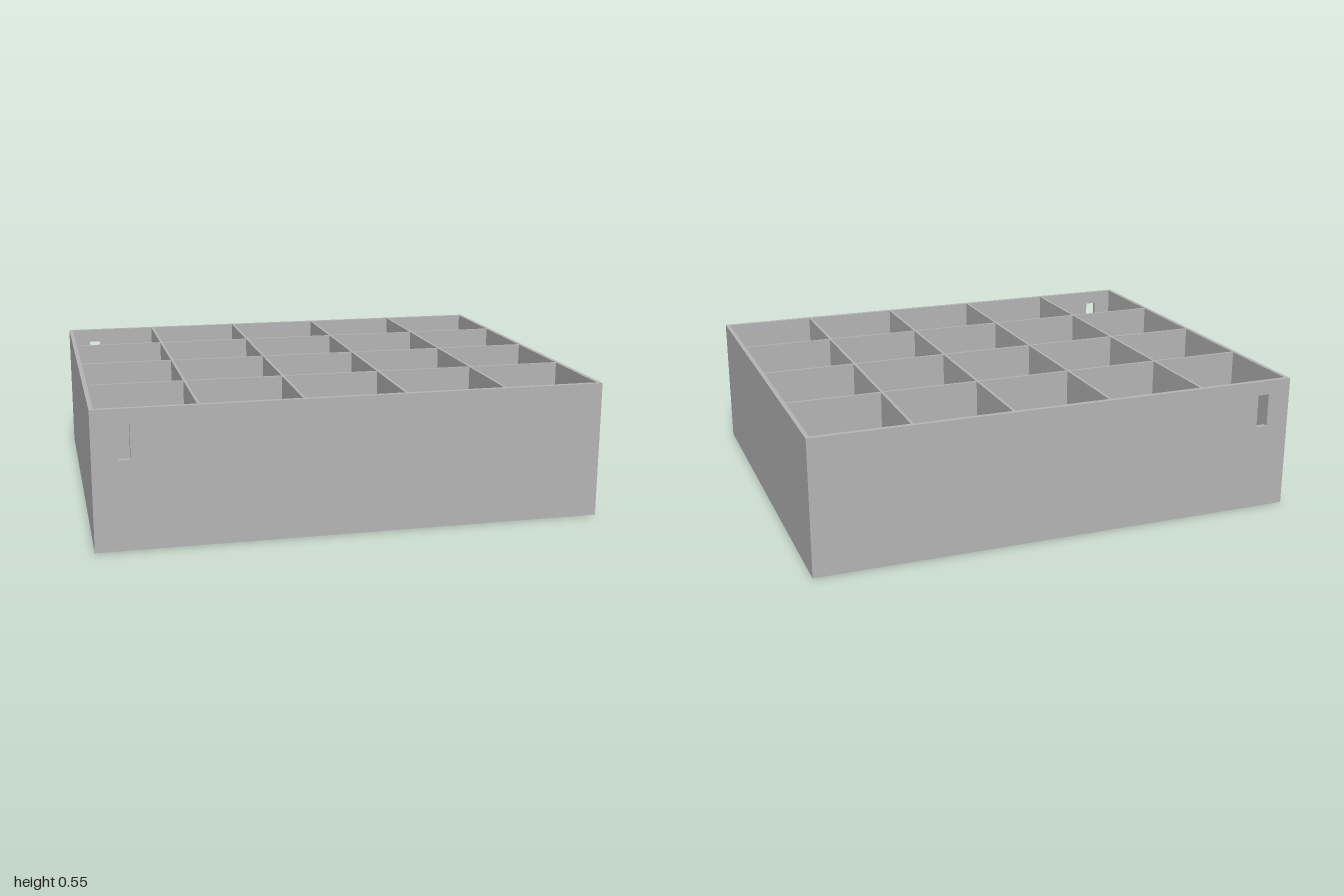
import * as THREE from 'three';

const W = 2, D = 1.654, H = 0.545;       // outer size
const WALL_X = 0.017, WALL_Z = 0.02;     // side and front/back wall thickness
const FLOOR = 0.02, DIV = 0.011;         // floor and divider thickness
const COLS = 5, ROWS = 4, PITCH_X = 0.4, PITCH_Z = 0.412;
const HOLE_R = 0.072;

function rect(Type, x0, y0, x1, y1) {
  const s = new Type();
  s.moveTo(x0, y0);
  s.lineTo(x1, y0);
  s.lineTo(x1, y1);
  s.lineTo(x0, y1);
  s.closePath();
  return s;
}

export function createModel() {
  const group = new THREE.Group();
  group.name = 'compartmentTray';
  const grey = new THREE.MeshStandardMaterial({ color: 0xb3b3b3 });
  grey.name = 'plainGrey';

  const add = (name, geometry, x, y, z) => {
    const mesh = new THREE.Mesh(geometry, grey);
    mesh.name = name;
    mesh.position.set(x, y, z);
    group.add(mesh);
    return mesh;
  };
  const colX = (i) => (i - (COLS - 1) / 2) * PITCH_X;
  const rowZ = (j) => (j - (ROWS - 1) / 2) * PITCH_Z;
  const innerW = W - 2 * WALL_X, innerD = D - 2 * WALL_Z;
  const innerH = H - FLOOR;

  // Floor with one round drain hole per compartment
  const floor = rect(THREE.Shape, -innerW / 2, -innerD / 2, innerW / 2, innerD / 2);
  for (let i = 0; i < COLS; i++) {
    for (let j = 0; j < ROWS; j++) {
      floor.holes.push(new THREE.Path().absarc(colX(i), rowZ(j), HOLE_R, 0, Math.PI * 2, true));
    }
  }
  const floorGeometry = new THREE.ExtrudeGeometry(floor, { depth: FLOOR, bevelEnabled: false, curveSegments: 32 });
  floorGeometry.rotateX(-Math.PI / 2);
  add('floor', floorGeometry, 0, 0, 0);

  // Front and back walls, each with a small upright slot
  const panel = rect(THREE.Shape, -W / 2, 0, W / 2, H);
  panel.holes.push(rect(THREE.Path, -0.904, 0.352, -0.856, 0.487));
  const panelGeometry = new THREE.ExtrudeGeometry(panel, { depth: WALL_Z, bevelEnabled: false });
  add('frontWall', panelGeometry, 0, 0, D / 2 - WALL_Z);
  add('backWall', panelGeometry, 0, 0, -D / 2);

  // Side walls
  const sideGeometry = new THREE.BoxGeometry(WALL_X, H, innerD);
  add('leftWall', sideGeometry, (W - WALL_X) / 2, H / 2, 0);
  add('rightWall', sideGeometry, -(W - WALL_X) / 2, H / 2, 0);

  // Dividers running front to back
  const longGeometry = new THREE.BoxGeometry(DIV, innerH, innerD);
  const edges = [-innerW / 2];
  for (let i = 0; i < COLS - 1; i++) {
    const x = colX(i) + PITCH_X / 2;
    add('lengthwiseDivider', longGeometry, x, FLOOR + innerH / 2, 0);
    edges.push(x - DIV / 2, x + DIV / 2);
  }
  edges.push(innerW / 2);

  // Cross dividers fitted between them
  for (let k = 0; k < edges.length; k += 2) {
    const width = edges[k + 1] - edges[k];
    const crossGeometry = new THREE.BoxGeometry(width, innerH, DIV);
    for (let j = 0; j < ROWS - 1; j++) {
      add('crossDivider', crossGeometry, edges[k] + width / 2, FLOOR + innerH / 2, rowZ(j) + PITCH_Z / 2);
    }
  }
  return group;
}
